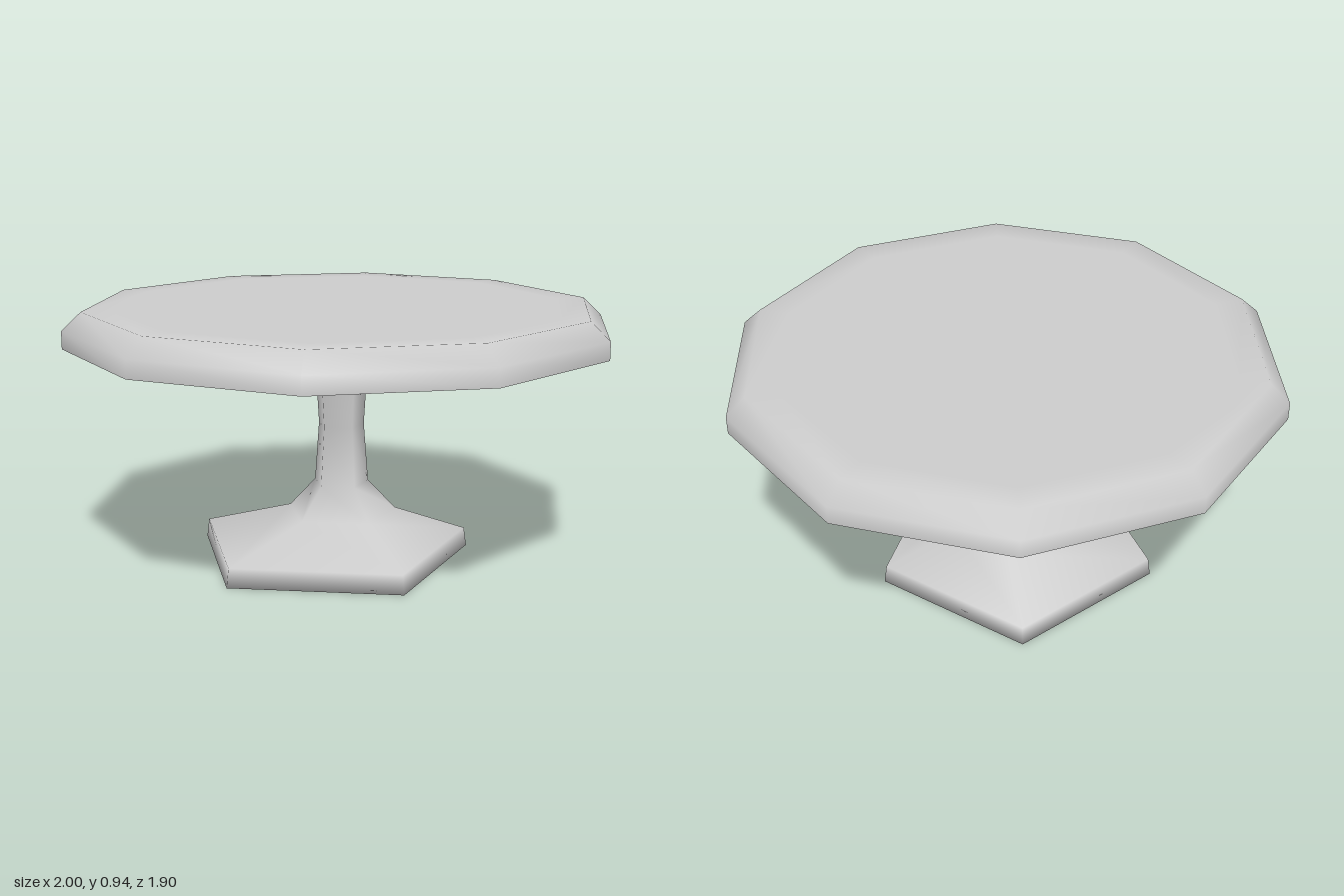
import * as THREE from 'three';

const material = new THREE.MeshStandardMaterial({ color: 0xcccccc });

// Revolve a [radius, height] profile with one corner pointing along +x
function turned(name, profile, sides) {
  const points = profile.map(([r, y]) => new THREE.Vector2(r, y));
  const mesh = new THREE.Mesh(new THREE.LatheGeometry(points, sides, Math.PI / 2), material);
  mesh.name = name;
  return mesh;
}

export function createModel() {
  const table = new THREE.Group();
  table.name = 'pedestalTable';

  // Ten-sided top with a bevelled rim; the inner ring keeps the middle flat
  const tableTop = turned('tableTop', [
    [1, 0.815], [1, 0.88], [0.93, 0.945], [0.82, 0.945], [0, 0.945],
  ], 10);

  // Flat underside
  const underside = new THREE.Mesh(
    new THREE.CircleGeometry(1, 10).rotateX(Math.PI / 2).translate(0, 0.815, 0),
    material
  );
  underside.name = 'tableUnderside';

  // Five-sided column flaring into a foot
  const pedestal = turned('pedestal', [
    [0, 0], [0.532, 0], [0.522, 0.07], [0.209, 0.168],
    [0.105, 0.28], [0.088, 0.5], [0.108, 0.815],
  ], 5);

  // The foot plate sits slightly off the column's axis
  const position = pedestal.geometry.attributes.position;
  for (let i = 0; i < position.count; i++) {
    if (position.getY(i) < 0.1) position.setX(i, position.getX(i) - 0.04);
  }

  table.add(tableTop, underside, pedestal);
  return table;
}
